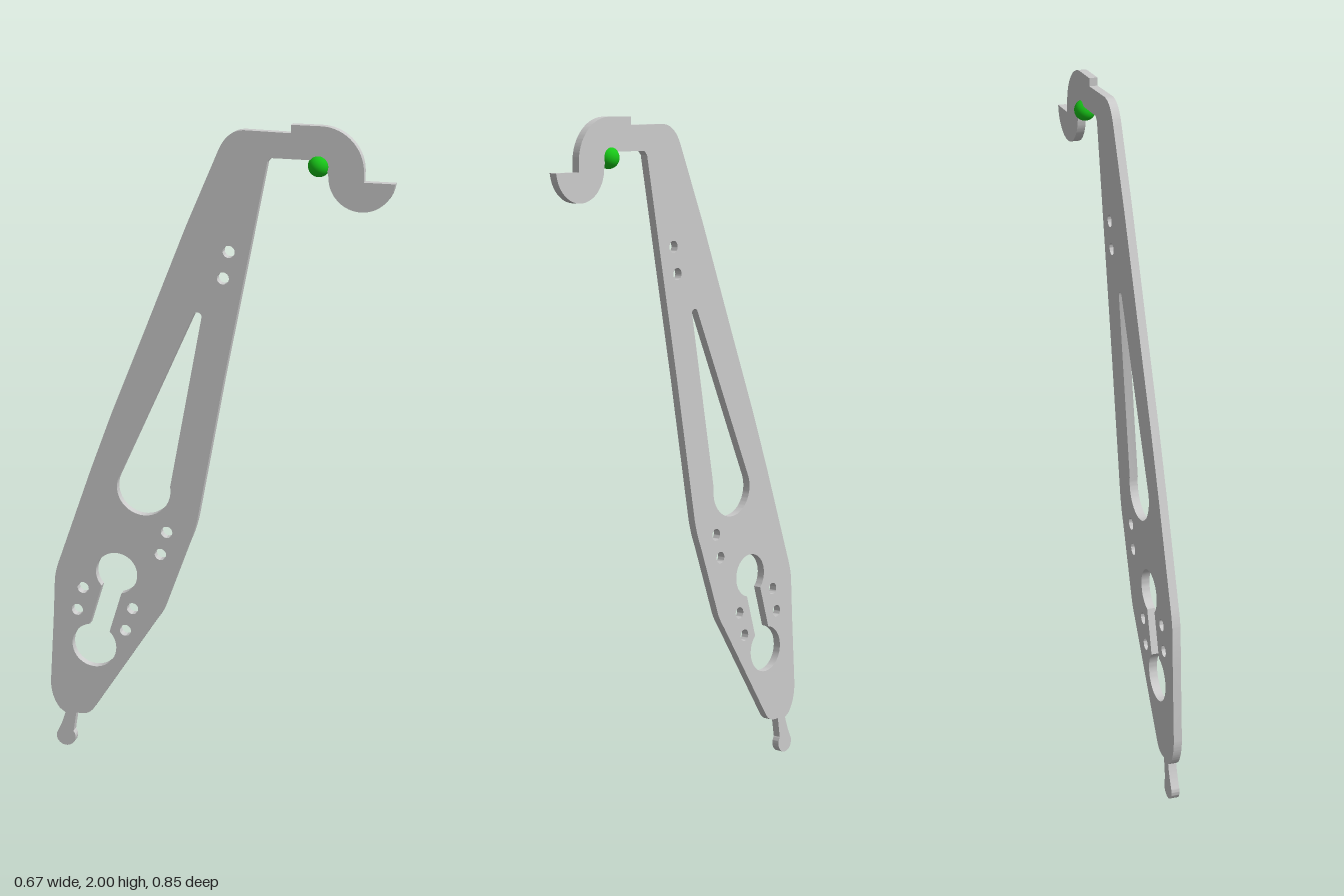
import * as THREE from 'three';
import { toCreasedNormals } from 'three/addons/utils/BufferGeometryUtils.js';

const THICKNESS = 0.025;
const PLANE_ANGLE = THREE.MathUtils.degToRad(52);

// Silhouette of the lever, drawn in its own plane
function leverOutline() {
  const s = new THREE.Shape();
  const lines = (pts) => pts.forEach(([x, y]) => s.lineTo(x, y));
  // long outer edge
  s.moveTo(-0.5, 0.125);
  s.quadraticCurveTo(-0.53, 0.165, -0.527, 0.22);
  lines([[-0.513, 0.44], [-0.507, 0.56]]);
  s.quadraticCurveTo(-0.502, 0.595, -0.487, 0.633);
  lines([[-0.386, 0.92], [-0.319, 1.1], [-0.218, 1.352], [-0.084, 1.69], [0.012, 1.915]]);
  s.quadraticCurveTo(0.038, 1.977, 0.09, 1.978);
  // raised step and hook
  lines([[0.225, 1.976], [0.225, 2], [0.312, 2]]);
  s.absarc(0.312, 1.875, 0.125, Math.PI / 2, 0, true);
  lines([[0.437, 1.846], [0.527, 1.846]]);
  s.absarc(0.431, 1.856, 0.096, -0.15, -Math.PI, true);
  s.absarc(0.285, 1.852, 0.05, 0, Math.PI / 2, false);
  // underside of the arm and long inner edge
  lines([[0.168, 1.902], [0.157, 1.89], [0.1375, 1.79], [0.097, 1.58], [0.03, 1.236], [-0.05, 0.8]]);
  s.quadraticCurveTo(-0.06, 0.755, -0.077, 0.717);
  s.lineTo(-0.158, 0.495);
  s.quadraticCurveTo(-0.168, 0.472, -0.185, 0.45);
  s.lineTo(-0.386, 0.14);
  s.quadraticCurveTo(-0.402, 0.115, -0.428, 0.115);
  s.lineTo(-0.446, 0.115);
  // neck and rounded end tab
  s.quadraticCurveTo(-0.452, 0.08, -0.456, 0.052);
  s.absarc(-0.481, 0.031, 0.031, 0.75, -Math.PI * 1.13, true);
  s.quadraticCurveTo(-0.492, 0.075, -0.482, 0.112);
  return s;
}

function roundHole(x, y, r) {
  return new THREE.Path().absarc(x, y, r, 0, Math.PI * 2, false);
}

// Tapered slot with a small round top and a large round bottom
function taperedSlot() {
  const p = new THREE.Path();
  p.absarc(-0.05, 1.422, 0.013, 0.1, Math.PI - 0.3, false);
  p.absarc(-0.219, 0.875, 0.084, Math.PI - 0.36, Math.PI * 2 + 0.16, false);
  p.closePath();
  return p;
}

// Two round openings joined by a straight channel
function doubleKeyhole() {
  const top = new THREE.Vector2(-0.308, 0.595), low = new THREE.Vector2(-0.383, 0.35);
  const rTop = 0.066, rLow = 0.071, half = 0.033;
  const a = Math.atan2(low.y - top.y, low.x - top.x);
  const b = Math.asin(half / rTop), c = Math.asin(half / rLow);
  const p = new THREE.Path();
  p.absarc(top.x, top.y, rTop, a + b, a - b + Math.PI * 2, false);
  p.absarc(low.x, low.y, rLow, a + Math.PI + c, a + Math.PI * 3 - c, false);
  p.closePath();
  return p;
}

export function createModel() {
  const model = new THREE.Group();
  model.name = 'hookedLever';

  const shape = leverOutline();
  const smallHoles = [
    [0.044, 1.622], [0.027, 1.542], [-0.148, 0.743], [-0.168, 0.67],
    [-0.258, 0.484], [-0.282, 0.41], [-0.416, 0.537], [-0.436, 0.463],
  ];
  shape.holes.push(taperedSlot(), doubleKeyhole());
  smallHoles.forEach(([x, y]) => shape.holes.push(roundHole(x, y, 0.018)));

  // flat plate
  const geometry = new THREE.ExtrudeGeometry(shape, {
    depth: THICKNESS, bevelEnabled: false, curveSegments: 24,
  });
  geometry.translate(0, 0, -THICKNESS / 2);
  const plate = new THREE.Mesh(
    toCreasedNormals(geometry, Math.PI / 6),
    new THREE.MeshStandardMaterial({ color: 0xcccccc }),
  );
  plate.name = 'leverPlate';

  // green ball in the hook's inner corner
  const ball = new THREE.Mesh(
    new THREE.SphereGeometry(0.032, 32, 20),
    new THREE.MeshStandardMaterial({ color: 0x18c818 }),
  );
  ball.name = 'pivotBall';
  ball.position.set(0.305, 1.885, 0);

  // the plate stands diagonally
  const lever = new THREE.Group();
  lever.name = 'lever';
  lever.rotation.y = -PLANE_ANGLE;
  lever.add(plate, ball);
  model.add(lever);
  return model;
}
